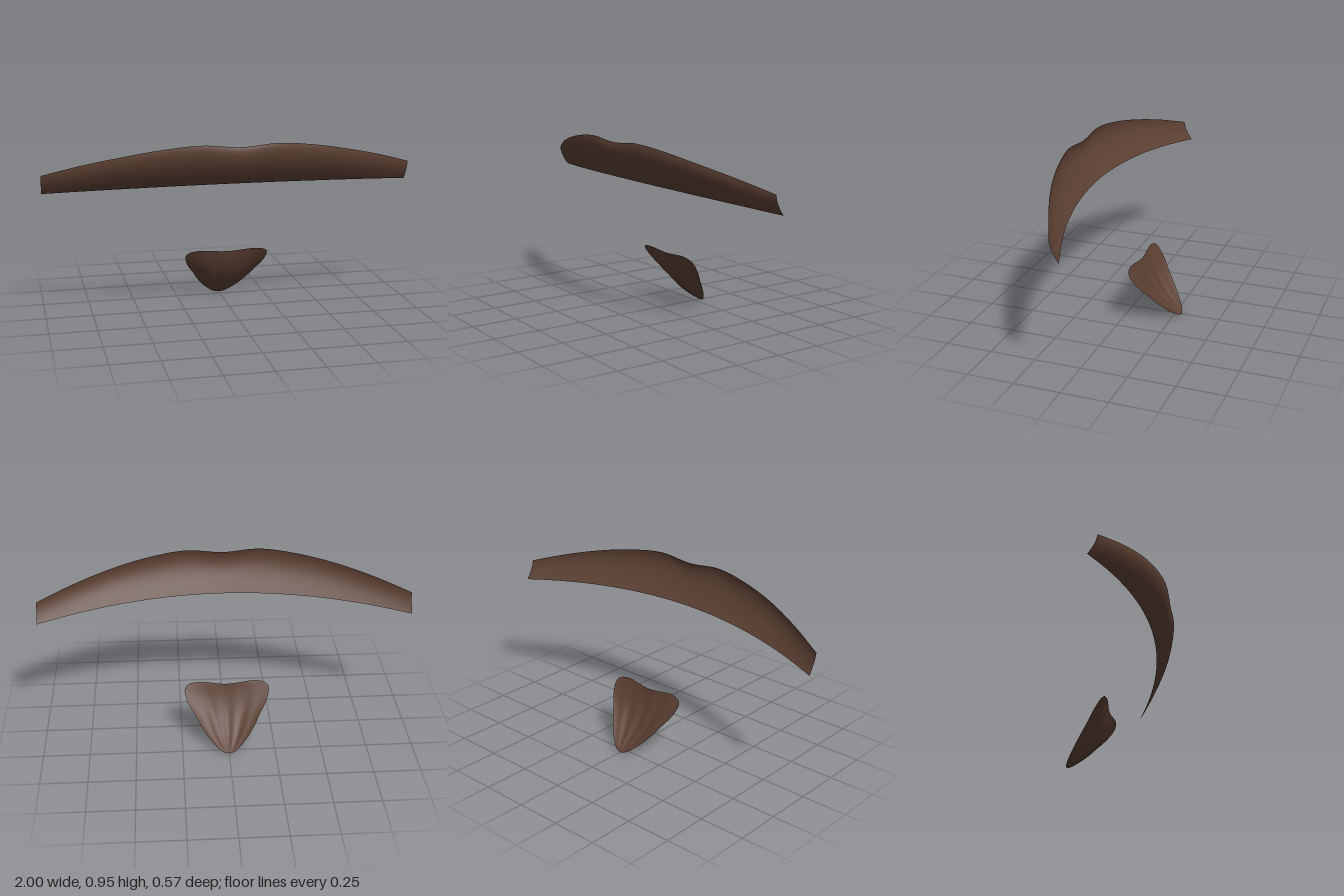
import * as THREE from 'three';

// Smooth open sheet from a rule that maps (a, b), each 0..1, to a point
function sheet(name, rule, cols, rows, material) {
  const pos = [], index = [];
  for (let j = 0; j <= rows; j++) {
    for (let i = 0; i <= cols; i++) pos.push(...rule(i / cols, j / rows));
  }
  for (let j = 0; j < rows; j++) {
    for (let i = 0; i < cols; i++) {
      const a = j * (cols + 1) + i, c = a + cols + 1;
      index.push(a, c, a + 1, a + 1, c, c + 1);
    }
  }
  const geometry = new THREE.BufferGeometry();
  geometry.setAttribute('position', new THREE.Float32BufferAttribute(pos, 3));
  geometry.setIndex(index);
  geometry.computeVertexNormals();
  const mesh = new THREE.Mesh(geometry, material);
  mesh.name = name;
  return mesh;
}

// Mirrored curve along x from [y, z] knots spaced evenly from the middle outwards
function mirroredCurve(half) {
  const step = 1 / (half.length - 1), points = [];
  for (let k = 1 - half.length; k < half.length; k++) {
    const [y, z] = half[Math.abs(k)];
    points.push(new THREE.Vector3(k * step, y, z));
  }
  return new THREE.CatmullRomCurve3(points, false, 'catmullrom', 0.5);
}

export function createModel() {
  const model = new THREE.Group();
  model.name = 'hairPieces';
  const brown = new THREE.MeshStandardMaterial({ color: 0x5c4033, side: THREE.DoubleSide });
  brown.name = 'dark brown';

  // Long curved band, bulging forward between its upper and lower edges
  const topEdge = mirroredCurve([[0.94, 0.28], [0.955, 0.28], [0.935, 0.25],
    [0.897, 0.2], [0.848, 0.125], [0.787, 0.035]]);
  const band = (a, b) => {
    const t = topEdge.getPoint(a), x = t.x;
    const low = new THREE.Vector3(x, 0.735 - 0.053 * x * x, 0.19 - 0.203 * x * x);
    const bulge = 1 - 0.75 * x * x;
    const mid = t.clone().add(low).multiplyScalar(0.5);
    mid.y += 0.025 * bulge;
    mid.z += 0.08 * bulge;
    return new THREE.QuadraticBezierCurve3(t, mid, low).getPoint(b).toArray();
  };
  model.add(sheet('upperBand', band, 80, 16, brown));

  // Small rippled triangular patch: half width against distance down the patch
  const outline = new THREE.CatmullRomCurve3([
    [0.16, 0], [0.2, 0.02], [0.222, 0.06], [0.23, 0.12], [0.223, 0.22], [0.208, 0.32],
    [0.175, 0.47], [0.145, 0.62], [0.108, 0.77], [0.073, 0.88], [0.045, 0.95],
    [0.025, 0.985], [0, 1],
  ].map(([w, t]) => new THREE.Vector3(w, t, 0)));
  const patch = (a, b) => {
    const u = a * 2 - 1, p = outline.getPoint(b);
    const x = u * p.x;
    const dip = 0.04 * (1 - p.y) * Math.cos(u * Math.PI / 2) ** 2;
    const t = p.y + dip;
    const swell = 4 * p.y * (1 - p.y);
    const ripple = 0.003 * Math.cos(u * 14) * (1 - u * u);
    const out = swell * (0.006 + 0.034 * (1 - u * u) + ripple);
    return [x, 0.318 - 0.313 * t - 0.61 * out, -0.045 - 0.24 * t + 0.79 * out];
  };
  model.add(sheet('lowerPatch', patch, 40, 40, brown));

  return model;
}
